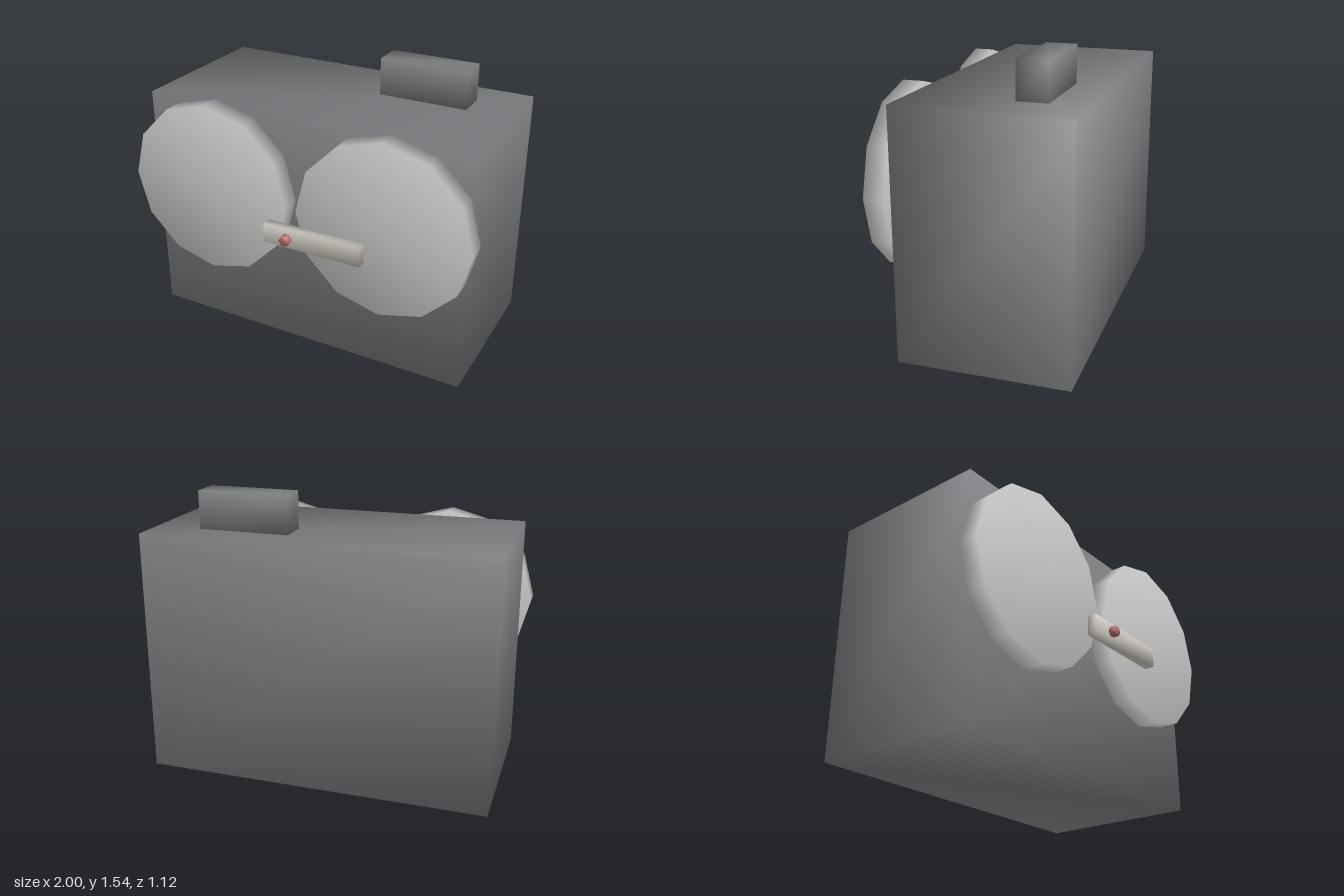
import * as THREE from 'three';
import { mergeVertices } from 'three/addons/utils/BufferGeometryUtils.js';

// Share corner vertices so shading runs smoothly around the edges
function soften(geometry) {
  geometry.deleteAttribute('uv');
  geometry.deleteAttribute('normal');
  const merged = mergeVertices(geometry, 1e-4);
  merged.computeVertexNormals();
  return merged;
}

// Box given by its lower and upper bounds on each axis
function box([x0, x1], [y0, y1], [z0, z1]) {
  const g = new THREE.BoxGeometry(x1 - x0, y1 - y0, z1 - z0);
  g.translate((x0 + x1) / 2, (y0 + y1) / 2, (z0 + z1) / 2);
  return soften(g);
}

// Disc facing +z, with a corner pointing along +x
function disc(radius, sides, x, y, [z0, z1]) {
  const g = new THREE.CylinderGeometry(radius, radius, z1 - z0, sides, 1, false, Math.PI / 2);
  g.rotateX(Math.PI / 2);
  g.translate(x, y, (z0 + z1) / 2);
  return soften(g);
}

export function createModel() {
  const group = new THREE.Group();
  const dark = new THREE.MeshStandardMaterial({ color: 0x808184 });
  const grey = new THREE.MeshStandardMaterial({ color: 0xcccccc });
  const warm = new THREE.MeshStandardMaterial({ color: 0xccc8c0 });
  const red = new THREE.MeshStandardMaterial({ color: 0xb87070 });

  const add = (name, geometry, material) => {
    const mesh = new THREE.Mesh(geometry, material);
    mesh.name = name;
    group.add(mesh);
  };

  // Cabinet and the block on its top
  add('body', box([-0.94, 0.94], [0, 1.335], [-0.56, 0.35]), dark);
  add('topBlock', box([0.19, 0.687], [1.335, 1.54], [-0.362, -0.197]), dark);

  // Pair of large front discs
  for (const side of [-1, 1]) {
    add(side > 0 ? 'leftDisc' : 'rightDisc', disc(0.485, 12, side * 0.515, 0.88, [0.357, 0.465]), grey);
  }

  // Lever bar with its pivot knob
  add('leverBar', box([-0.13, 0.43], [0.69, 0.797], [0.471, 0.526]), warm);
  add('pivotKnob', disc(0.03, 6, 0.011, 0.744, [0.526, 0.56]), red);

  return group;
}
